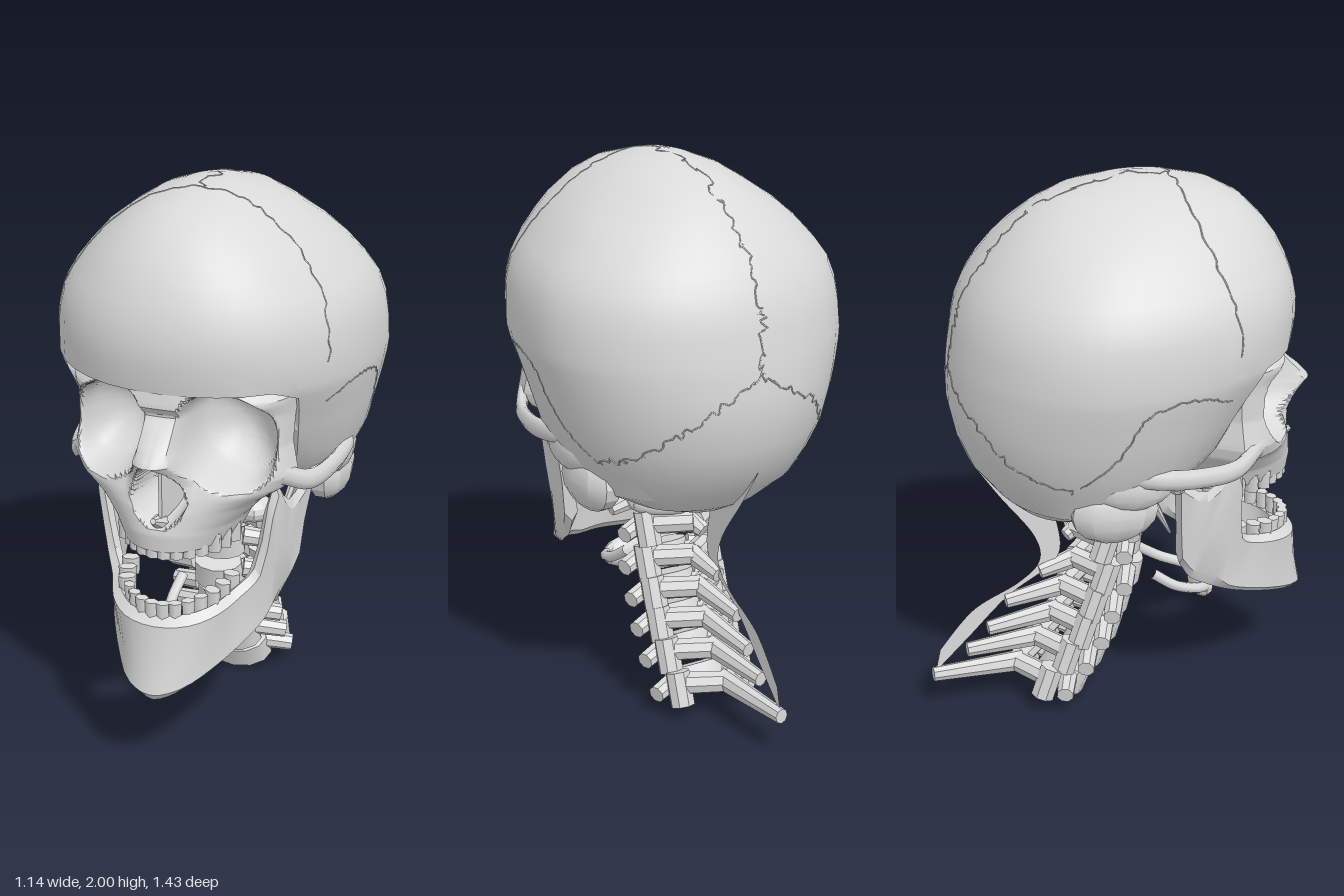
import * as THREE from 'three';
import { toCreasedNormals } from 'three/addons/utils/BufferGeometryUtils.js';

const V = (x, y, z) => new THREE.Vector3(x, y, z);
const SIDES = [-1, 1];

// Linear lookup in a table of [key, value] pairs with ascending keys
function prof(table, k) {
  if (k <= table[0][0]) return table[0][1];
  for (let i = 1; i < table.length; i++) {
    const [k0, v0] = table[i - 1], [k1, v1] = table[i];
    if (k <= k1) return v0 + (v1 - v0) * (k - k0) / (k1 - k0);
  }
  return table[table.length - 1][1];
}

// Capped skin over a stack of closed rings
function loft(rows, crease = 0.35) {
  const n = rows[0].length, pos = [], idx = [];
  rows.forEach(r => r.forEach(p => pos.push(p.x, p.y, p.z)));
  for (let i = 0; i < rows.length - 1; i++) for (let j = 0; j < n; j++) {
    const a = i * n + j, b = i * n + (j + 1) % n;
    idx.push(a, b, a + n, b, b + n, a + n);
  }
  [0, rows.length - 1].forEach((r, top) => {
    const c = rows[r].reduce((s, p) => s.add(p), V(0, 0, 0)).divideScalar(n), k = pos.length / 3;
    pos.push(c.x, c.y, c.z);
    for (let j = 0; j < n; j++) {
      const a = r * n + j, b = r * n + (j + 1) % n;
      if (top) idx.push(k, a, b); else idx.push(k, b, a);
    }
  });
  const g = new THREE.BufferGeometry();
  g.setAttribute('position', new THREE.Float32BufferAttribute(pos, 3));
  g.setIndex(idx);
  return toCreasedNormals(g, crease);
}

// Braincase: horizontal rings [y, front z, back z, half width, z of greatest width];
// below the brow the front is cut off flat behind the eye sockets
function craniumGeometry() {
  const levels = [
    [0.79, -0.12, -0.32, 0.12, -0.22], [0.83, -0.02, -0.39, 0.25, -0.2], [0.9, 0.12, -0.46, 0.39, -0.15],
    [1.0, 0.28, -0.54, 0.45, -0.1], [1.1, 0.38, -0.58, 0.5, -0.1], [1.22, 0.46, -0.605, 0.53, -0.1],
    [1.3, 0.52, -0.605, 0.55, -0.1], [1.37, 0.58, -0.6, 0.565, -0.1], [1.41, 0.61, -0.595, 0.57, -0.1],
    [1.5, 0.625, -0.58, 0.565, -0.1], [1.57, 0.625, -0.565, 0.557, -0.09], [1.64, 0.612, -0.535, 0.535, -0.08],
    [1.7, 0.59, -0.5, 0.495, -0.06], [1.77, 0.555, -0.445, 0.435, -0.04],
    [1.83, 0.51, -0.39, 0.375, 0], [1.9, 0.44, -0.31, 0.28, 0.05], [1.95, 0.35, -0.22, 0.2, 0.06],
    [1.985, 0.22, -0.08, 0.11, 0.07], [2.0, 0.12, 0.0, 0.04, 0.06]];
  return loft(levels.map(([y, zf, zb, hw, zc]) => Array.from({ length: 40 }, (_, j) => {
    const t = j / 40 * Math.PI * 2, p = Math.sin(t) < 0 ? 0.92 : 1;
    const soft = v => Math.sign(v) * Math.abs(v) ** p, s = -soft(Math.sin(t));
    const x = hw * soft(Math.cos(t)), z = zc + s * (s > 0 ? zf - zc : zc - zb);
    return V(x, y, y < 1.38 && Math.abs(x) < 0.36 ? Math.min(z, 0.29) : z);
  })), 0.4);
}

// Face: horizontal rings with sunken eye sockets and nasal opening
function faceGeometry() {
  const width = [[0.86, 0.2], [0.93, 0.235], [1.0, 0.3], [1.05, 0.375], [1.1, 0.4], [1.2, 0.38], [1.3, 0.385], [1.38, 0.395], [1.43, 0.33]];
  const front = [[0.86, 0.645], [0.92, 0.65], [1.0, 0.635], [1.1, 0.595], [1.2, 0.6], [1.26, 0.585], [1.32, 0.58], [1.36, 0.615], [1.43, 0.6]];
  const back = [[0.86, 0.34], [1.0, 0.33], [1.1, 0.35], [1.43, 0.33]];
  const bump = [[1.02, 0], [1.08, 0.045], [1.14, 0.08], [1.19, 0.125], [1.24, 0.09], [1.33, 0]];
  const rows = [];
  for (let i = 0; i <= 64; i++) {
    const y = 0.86 + i / 64 * 0.57, hw = prof(width, y), zf = prof(front, y), zb = prof(back, y), ring = [];
    for (let j = 0; j <= 88; j++) {
      const u = j / 44 - 1, x = u * hw, ax = Math.abs(x);
      let z = zb + (zf - zb) * Math.sqrt(Math.max(0, 1 - Math.abs(u) ** 2.2));
      z += prof(bump, y) * Math.max(0, 1 - (ax / 0.12) ** 2);
      const ro = (Math.abs((ax - 0.21) / 0.15) ** 2.5 + Math.abs((y - 1.24 + 0.2 * (ax - 0.21)) / 0.165) ** 2.5) ** 0.4;
      z += (Math.min(z, 0.3 + 0.12 * ro * ro) - z) * (1 - THREE.MathUtils.smoothstep(ro, 0.82, 1.05));
      const nw = 0.1 - Math.max(0, y - 1.03) * 0.3, rn = Math.hypot(x / nw, (y - 1.065) / 0.12);
      z += (Math.min(z, 0.42) - z) * (1 - THREE.MathUtils.smoothstep(rn, 0.82, 1.05));
      ring.push(V(x, y, z));
    }
    for (const k of [0.8, 0.3, -0.3, -0.8]) ring.push(V(k * hw, y, zb - 0.12));
    rows.push(ring);
  }
  return loft(rows, 0.5);
}

// Lower jaw: stations [top x, y, z, bottom x, y, z, half thickness] from chin to hinge
function jawGeometry() {
  const half = [
    [0, 0.625, 0.645, 0, 0.32, 0.695, 0.03], [0.1, 0.63, 0.62, 0.07, 0.34, 0.665, 0.03],
    [0.17, 0.645, 0.55, 0.15, 0.385, 0.55, 0.03], [0.215, 0.67, 0.45, 0.225, 0.445, 0.42, 0.028],
    [0.26, 0.72, 0.39, 0.265, 0.49, 0.33, 0.025], [0.32, 1.04, 0.36, 0.295, 0.54, 0.25, 0.018],
    [0.335, 0.93, 0.24, 0.31, 0.58, 0.19, 0.016], [0.37, 1.01, 0.12, 0.32, 0.65, 0.145, 0.025]];
  const all = [...half.slice(1).reverse().map(([a, b, c, d, e, f, w]) => [-a, b, c, -d, e, f, w]), ...half];
  const top = new THREE.CatmullRomCurve3(all.map(s => V(s[0], s[1], s[2])));
  const low = new THREE.CatmullRomCurve3(all.map(s => V(s[3], s[4], s[5])));
  const thick = all.map((s, i) => [i / (all.length - 1), s[6]]);
  return loft(Array.from({ length: 43 }, (_, i) => {
    const k = i / 42, w = prof(thick, k), T = top.getPoint(k), B = low.getPoint(k), t = low.getTangent(k);
    const n = V(-t.z, 0, t.x).normalize();
    const at = (m, s) => T.clone().lerp(B, m).addScaledVector(n, s * w);
    return [T, at(0.1, 1), at(0.55, 0.8), at(0.9, 1), B, at(0.9, -1), at(0.55, -0.8), at(0.1, -1)];
  }), 0.5);
}

export function createModel() {
  const root = new THREE.Group();
  const bone = new THREE.MeshStandardMaterial({ color: 0xdadada });
  bone.name = 'bone';
  const sheet = new THREE.MeshStandardMaterial({ color: 0xdadada, side: THREE.DoubleSide });
  sheet.name = 'ligament';

  const add = (name, geo, parent = root, mat = bone) => {
    const m = new THREE.Mesh(geo, mat);
    m.name = name;
    parent.add(m);
    return m;
  };
  const group = (name, parent = root) => {
    const g = new THREE.Group();
    g.name = name;
    parent.add(g);
    return g;
  };
  // Tapered rod between two points
  const rod = (name, a, b, ra, rb, parent = root, flat = 1) => {
    const d = b.clone().sub(a);
    const g = new THREE.CylinderGeometry(rb, ra, d.length(), 8).scale(flat, 1, 1);
    const m = add(name, toCreasedNormals(g, 0.6), parent);
    m.position.copy(a).lerp(b, 0.5);
    m.quaternion.setFromUnitVectors(V(0, 1, 0), d.normalize());
  };
  const lump = (name, x, y, z, sx, sy, sz, parent = root) => {
    const m = add(name, toCreasedNormals(new THREE.SphereGeometry(1, 10, 8).scale(sx, sy, sz), 0.4), parent);
    m.position.set(x, y, z);
  };
  const box = (name, x, y, z, sx, sy, sz) => {
    add(name, new THREE.BoxGeometry(sx, sy, sz)).position.set(x, y, z);
  };
  const tube = (name, pts, r, n = 16) =>
    add(name, new THREE.TubeGeometry(new THREE.CatmullRomCurve3(pts), n, r, 7));

  // Skull
  const cranium = add('cranium', craniumGeometry());
  add('face', faceGeometry());
  box('skullBase', 0, 0.99, 0.17, 0.3, 0.14, 0.4);
  box('nasalSeptum', 0.01, 1.06, 0.5, 0.012, 0.2, 0.25);
  rod('nasalSpine', V(0, 0.95, 0.6), V(0, 0.98, 0.665), 0.03, 0.01);
  for (const s of SIDES) {
    // Flattened arch: built squat, then stretched upright about its own height
    const arch = tube('cheekArch', [V(s * 0.36, 0.02, 0.42), V(s * 0.425, -0.01, 0.32), V(s * 0.465, -0.01, 0.17), V(s * 0.475, 0.0, 0.02), V(s * 0.45, 0.01, -0.08)], 0.022);
    arch.scale.y = 1.7;
    arch.position.y = 1.07;
    lump('mastoid', s * 0.375, 0.925, -0.11, 0.085, 0.12, 0.16);
    lump('earRidge', s * 0.42, 1.03, -0.05, 0.06, 0.09, 0.14);
    lump('occipitalCondyle', s * 0.1, 0.83, -0.02, 0.05, 0.05, 0.08);
    rod('styloid', V(s * 0.3, 0.94, 0.03), V(s * 0.25, 0.74, 0.13), 0.022, 0.005);
    box('pterygoidPlate', s * 0.12, 0.94, 0.27, 0.025, 0.2, 0.1);
    lump('jawHinge', s * 0.375, 0.995, 0.11, 0.06, 0.03, 0.035);
  }

  // Jagged sutures laid on the braincase
  let seed = 7;
  const rnd = () => (seed = (seed * 16807) % 2147483647) / 2147483647 - 0.5;
  const ray = new THREE.Raycaster(), mid = V(0, 1.4, 0);
  cranium.updateMatrixWorld(true);
  const suture = (way, amp) => {
    const path = new THREE.CatmullRomCurve3(way), line = new THREE.CurvePath();
    let last = null;
    for (let i = 0; i <= 60; i++) {
      const p = path.getPoint(i / 60).add(V(rnd() * amp, rnd() * amp, rnd() * amp));
      const d = p.sub(mid).normalize();
      ray.set(mid.clone().addScaledVector(d, 3), d.clone().negate());
      const hit = ray.intersectObject(cranium)[0];
      if (!hit) continue;
      if (last) line.add(new THREE.LineCurve3(last, hit.point));
      last = hit.point;
    }
    add('suture', new THREE.TubeGeometry(line, 120, 0.003, 4));
  };
  suture([V(-0.46, 1.48, 0.29), V(-0.4, 1.75, 0.24), V(-0.2, 1.93, 0.19), V(0, 1.98, 0.18), V(0.2, 1.93, 0.19), V(0.4, 1.75, 0.24), V(0.46, 1.48, 0.29)], 0.02);
  suture([V(0, 1.98, 0.18), V(-0.01, 1.97, -0.15), V(-0.02, 1.8, -0.42), V(-0.02, 1.6, -0.55), V(0, 1.36, -0.6)], 0.05);
  for (const s of SIDES) {
    suture([V(0, 1.36, -0.6), V(s * 0.2, 1.25, -0.55), V(s * 0.36, 1.1, -0.42), V(s * 0.45, 1.04, -0.26)], 0.03);
    suture([V(s * 0.45, 1.33, 0.26), V(s * 0.52, 1.38, 0.12), V(s * 0.55, 1.34, -0.04), V(s * 0.53, 1.2, -0.12), V(s * 0.48, 1.05, -0.26)], 0.012);
  }

  // Jaw and both rows of teeth
  add('lowerJaw', jawGeometry());
  const teeth = (name, zc, depth, y, rise, h) => {
    const g = group(name);
    for (let i = 0; i < 14; i++) {
      const a = (i - 6.5) / 6.5 * 1.4, back = Math.abs(a) > 0.85;
      const t = add('tooth', new THREE.CylinderGeometry(0.025, 0.023, h, 6).scale(1, 1, back ? 1.3 : 0.8), g);
      t.position.set(0.19 * Math.sin(a), y + rise * (1 - Math.cos(a)), zc + depth * Math.cos(a));
      t.rotation.y = a;
    }
  };
  teeth('upperTeeth', 0.36, 0.265, 0.865, 0, 0.07);
  teeth('lowerTeeth', 0.37, 0.27, 0.635, 0.045, 0.065);

  // Hyoid
  tube('hyoid', [V(-0.11, 0.5, 0.11), V(-0.12, 0.44, 0.2), V(-0.09, 0.4, 0.31), V(0, 0.385, 0.35), V(0.09, 0.4, 0.31), V(0.12, 0.44, 0.2), V(0.11, 0.5, 0.11)], 0.02, 28);
  lump('hyoidBody', 0, 0.385, 0.33, 0.09, 0.06, 0.045);

  // Neck: [body y, z, spine tip y, z, size]
  const neck = group('neck');
  const ring = add('atlas', new THREE.TorusGeometry(0.12, 0.035, 7, 20).rotateX(Math.PI / 2).scale(1.15, 1, 0.85), neck);
  ring.position.set(0, 0.75, -0.03);
  rod('dens', V(0, 0.62, 0.02), V(0, 0.79, 0.03), 0.05, 0.03, neck);
  for (const s of SIDES) {
    lump('atlasSide', s * 0.13, 0.76, 0.0, 0.065, 0.05, 0.075, neck);
    rod('atlasWing', V(s * 0.13, 0.76, 0), V(s * 0.24, 0.73, 0), 0.04, 0.025, neck);
  }
  const bones = [[0.63, 0.025, 0.66, -0.2, 0.065], [0.5, 0.025, 0.525, -0.3, 0.065], [0.39, -0.02, 0.42, -0.43, 0.068],
    [0.285, -0.06, 0.315, -0.5, 0.07], [0.185, -0.12, 0.235, -0.58, 0.075], [0.085, -0.2, 0.15, -0.71, 0.085]];
  bones.forEach(([y, z, ty, tz, r], i) => {
    const v = group('vertebra', neck), zr = z - 0.09;
    const body = add('vertebraBody', toCreasedNormals(new THREE.CylinderGeometry(r, r * 1.08, 0.092, 12).scale(1.4, 1, 1), 0.6), v);
    body.position.set(0, y, z);
    body.rotation.x = 0.2 + i * 0.06;
    const spineRoot = V(-0.01, y + 0.06, z - 0.19);
    for (const s of SIDES) {
      rod('facetPillar', V(s * 0.13, y - 0.03, zr - 0.03), V(s * 0.13, y + 0.09, zr + 0.01), 0.045, 0.045, v);
      rod('pedicle', V(s * 0.07, y + 0.01, z - 0.02), V(s * 0.13, y + 0.02, zr), 0.028, 0.028, v);
      rod('sideProcess', V(s * 0.09, y + 0.02, z - 0.01), V(s * 0.2, y, z - 0.05), 0.036, 0.032, v);
      rod('lamina', V(s * 0.13, y + 0.045, zr), spineRoot, 0.042, 0.04, v);
    }
    rod('spinousProcess', spineRoot.clone().add(V(0, 0, 0.02)), V(-0.03, ty, tz), 0.042, 0.028, v, 0.9);
  });

  // Thin nape ligament between the back of the skull and the lowest spine
  const shape = new THREE.Shape();
  shape.moveTo(-0.26, 0.84);
  shape.splineThru([[-0.22, 0.63], [-0.27, 0.54], [-0.42, 0.44], [-0.57, 0.29], [-0.7, 0.16]].map(p => new THREE.Vector2(...p)));
  shape.lineTo(-0.68, 0.25);
  shape.splineThru([[-0.55, 0.4], [-0.38, 0.49], [-0.3, 0.57], [-0.32, 0.68], [-0.44, 0.85], [-0.54, 1.0]].map(p => new THREE.Vector2(...p)));
  const lig = add('napeLigament', new THREE.ShapeGeometry(shape, 8).rotateY(-Math.PI / 2), root, sheet);
  lig.position.x = -0.03;
  return root;
}
